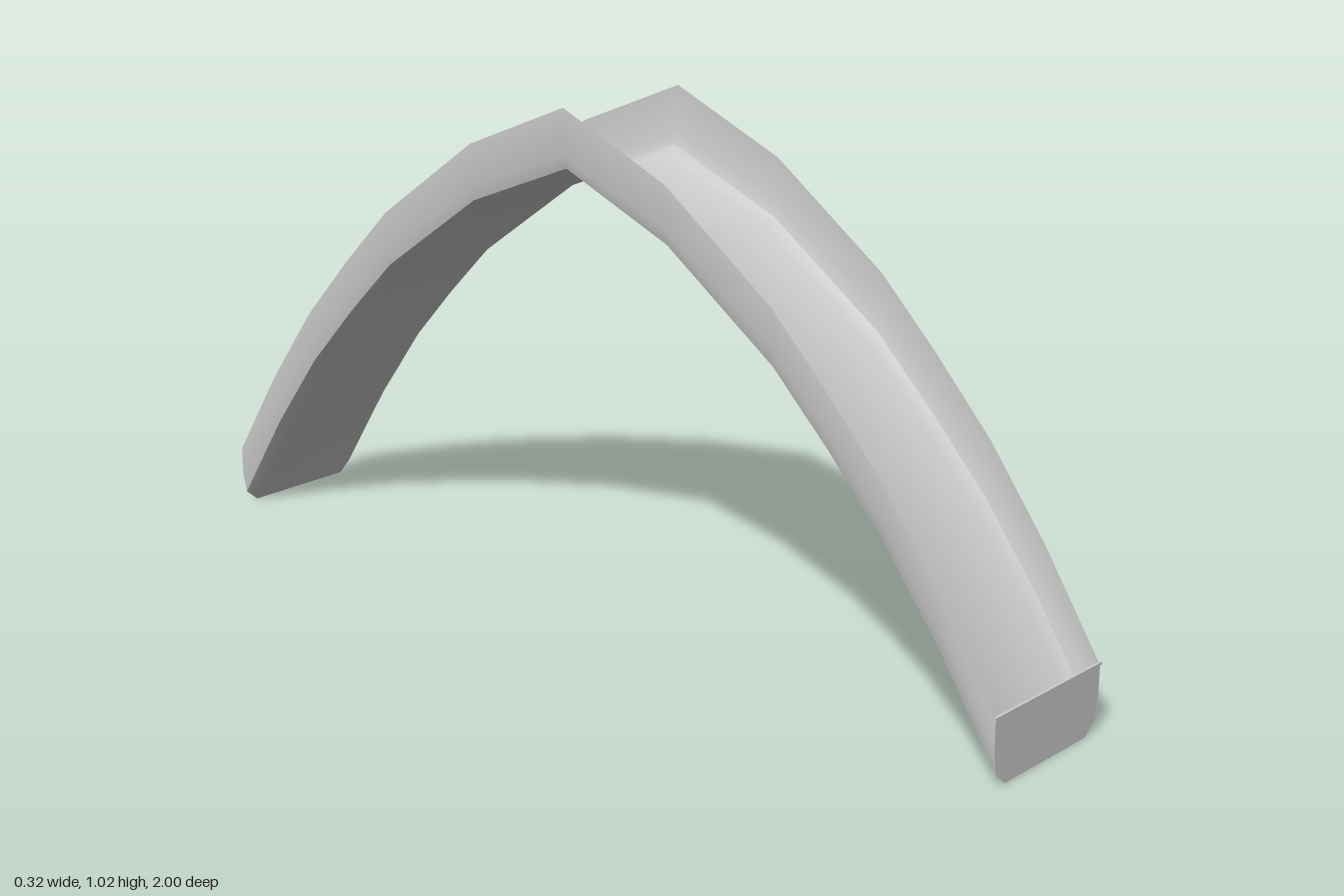
import * as THREE from 'three';
import { toCreasedNormals } from 'three/addons/utils/BufferGeometryUtils.js';

const material = new THREE.MeshStandardMaterial({ color: 0xcccccc, side: THREE.DoubleSide });
const WALL = 0.126;      // trough depth, measured vertically
const CENTER_X = -0.004;

// Height of the trough floor at each distance from the crown
const half = [[0, 0.891], [0.25, 0.788], [0.5, 0.612], [0.625, 0.489], [0.75, 0.355], [0.875, 0.19], [1, 0]];
const path = [...half.slice(1).reverse().map(([z, y]) => [-z, y]), ...half];

// U-shaped cross-section; its rounded corners flatten towards the crown
function section(z) {
  const s = 0.5 + 0.5 * Math.abs(z);
  const side = [[0.155, WALL], [0.155, 0.07 * s], [0.147, 0.024 * s], [0.12, 0]];
  return [...side, ...side.map(([x, y]) => [-x, y]).reverse()].map(([x, y]) => [x + CENTER_X, y]);
}

// Sweep the section along the arch
function troughGeometry() {
  const positions = [], index = [];
  const n = section(0).length;
  path.forEach(([z, floor], i) => {
    section(z).forEach(([x, y]) => positions.push(x, floor + y, z));
    if (i === 0) return;
    for (let j = 0; j < n - 1; j++) {
      const a = (i - 1) * n + j, b = a + 1, c = a + n, d = c + 1;
      index.push(a, b, c, b, d, c);
    }
  });
  const geometry = new THREE.BufferGeometry();
  geometry.setAttribute('position', new THREE.Float32BufferAttribute(positions, 3));
  geometry.setIndex(index);
  return toCreasedNormals(geometry, 0.72);
}

export function createModel() {
  const group = new THREE.Group();
  group.name = 'archedTrough';

  const add = (name, geometry) => {
    const mesh = new THREE.Mesh(geometry, material);
    mesh.name = name;
    group.add(mesh);
    return mesh;
  };

  add('trough', troughGeometry());

  // Flat plate and thin lip closing each end
  for (const [label, sign] of [['front', 1], ['back', -1]]) {
    const outline = new THREE.Shape(section(1).map(([x, y]) => new THREE.Vector2(x * sign, y)));
    const cap = add(label + 'EndCap', new THREE.ShapeGeometry(outline));
    cap.position.z = sign;
    if (sign < 0) cap.rotation.y = Math.PI;

    const lip = add(label + 'EndLip', new THREE.BoxGeometry(0.316, 0.005, 0.005));
    lip.position.set(-0.001, WALL + 0.0015, sign * 0.9975);
  }
  return group;
}
